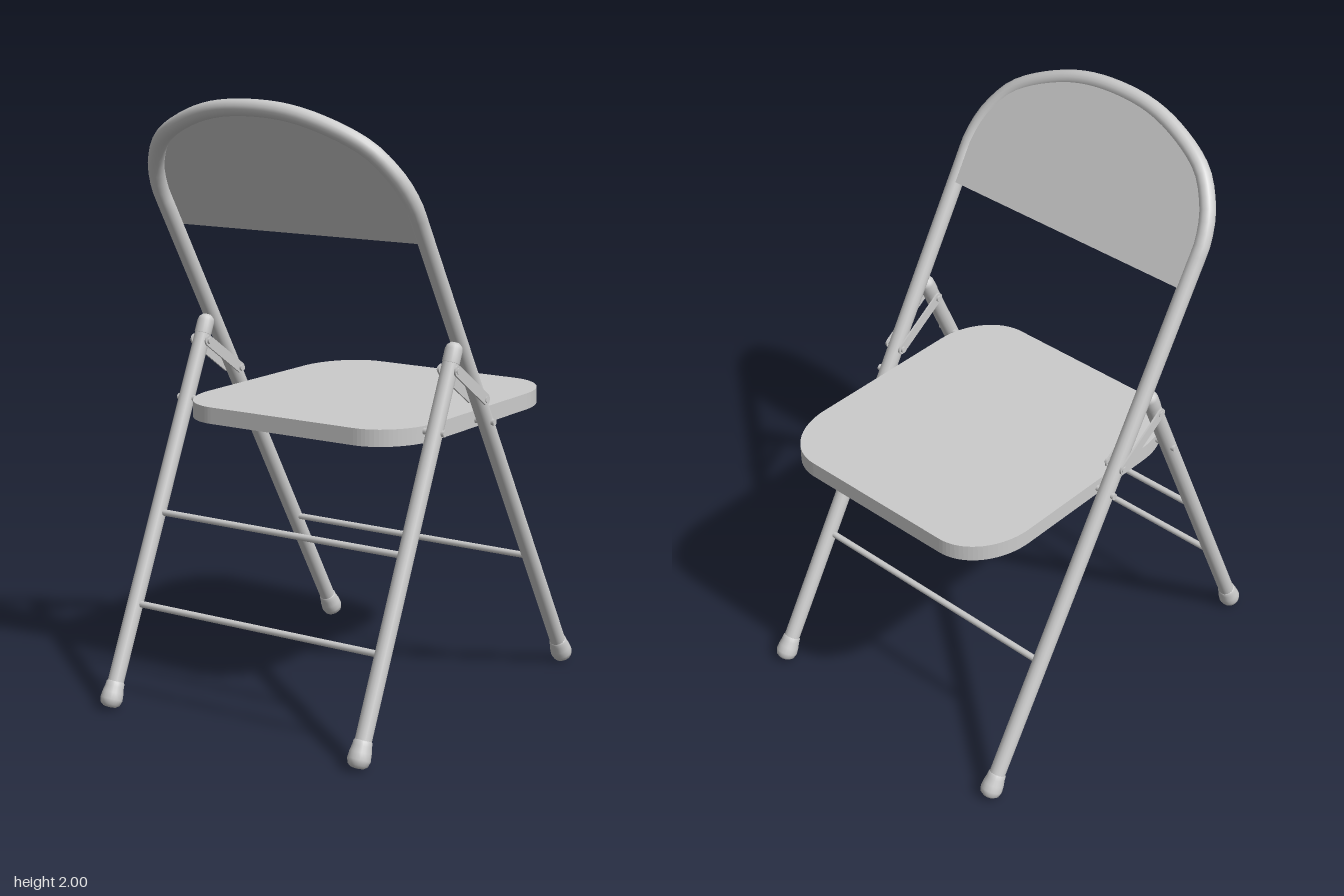
import * as THREE from 'three';

const R = 0.027;   // tube radius
const X = 0.49;    // side tube offset
// Side profile of the two crossing frames
const mainZ = y => 0.51 - (1.973 - y) * 0.592;
const legZ = y => 0.632 - (y - 0.05) * 0.4466;

export function createModel() {
  const model = new THREE.Group();
  const mat = new THREE.MeshStandardMaterial({ color: 0xcccccc });
  const sheetMat = new THREE.MeshStandardMaterial({ color: 0xcccccc, side: THREE.DoubleSide });
  const V = (x, y, z) => new THREE.Vector3(x, y, z);
  const UP = V(0, 1, 0);

  function add(name, geometry, material = mat) {
    const mesh = new THREE.Mesh(geometry, material);
    mesh.name = name;
    model.add(mesh);
    return mesh;
  }
  // Round bar between two points
  function bar(name, a, b, r, sides = 16) {
    const d = b.clone().sub(a);
    const mesh = add(name, new THREE.CylinderGeometry(r, r, d.length(), sides));
    mesh.position.copy(a).add(b).multiplyScalar(0.5);
    mesh.quaternion.setFromUnitVectors(UP, d.normalize());
  }
  // Turned part standing on point p, with its axis along dir
  function turned(name, profile, p, dir) {
    const points = profile.map(([r, h]) => new THREE.Vector2(r, h));
    const mesh = add(name, new THREE.LatheGeometry(points, 20));
    mesh.position.copy(p);
    mesh.quaternion.setFromUnitVectors(UP, dir.clone().normalize());
  }

  // Main frame: one bent tube forming two legs and the back arch
  const arch = [[X, 1.64], [X, 1.68], [0.476, 1.745], [0.452, 1.795], [0.39, 1.868],
    [0.25, 1.938], [0.105, 1.973]];
  const archLoop = [...arch, ...arch.map(([x, y]) => [-x, y]).reverse()];
  const onMain = ([x, y]) => V(x, y, mainZ(y));
  const path = new THREE.CurvePath();
  path.add(new THREE.LineCurve3(onMain([X, 0.04]), onMain(archLoop[0])));
  path.add(new THREE.CatmullRomCurve3(archLoop.map(onMain)));
  path.add(new THREE.LineCurve3(onMain([-X, 1.64]), onMain([-X, 0.04])));
  add('mainFrame', new THREE.TubeGeometry(path, 140, R, 16));

  // Back panel: thin sheet inside the arch, set against one face of the tube
  const archCurve = new THREE.SplineCurve(archLoop.map(([x, y]) => new THREE.Vector2(x, y)));
  const panelShape = new THREE.Shape([new THREE.Vector2(-X + 0.01, 1.565),
    new THREE.Vector2(X - 0.01, 1.565), ...archCurve.getPoints(40)]);
  const panel = new THREE.ShapeGeometry(panelShape);
  const pos = panel.attributes.position;
  for (let i = 0; i < pos.count; i++) pos.setZ(i, mainZ(pos.getY(i)) - 0.024);
  panel.computeVertexNormals();
  add('backPanel', panel, sheetMat);

  // Seat: rounded pan with a turned-down rim, hollow below
  function seatOutline(inset, Type) {
    const w = 0.455 - inset, d = 0.5 - inset, rx = 0.175 - inset, rz = 0.22 - inset;
    const s = new Type();
    [[1, 1], [-1, 1], [-1, -1], [1, -1]].forEach(([sx, sz], i) =>
      s.absellipse(sx * (w - rx), sz * (d - rz), rx, rz, i * Math.PI / 2, (i + 1) * Math.PI / 2));
    s.closePath();
    return s;
  }
  function seatLayer(name, shape, y, depth) {
    const g = new THREE.ExtrudeGeometry(shape, { depth, bevelEnabled: false, curveSegments: 10 });
    g.rotateX(-Math.PI / 2).translate(0, y, -0.14);
    add(name, g);
  }
  const rim = seatOutline(0, THREE.Shape);
  rim.holes.push(seatOutline(0.015, THREE.Path));
  seatLayer('seatRim', rim, 0.935, 0.043);
  seatLayer('seatTop', seatOutline(0, THREE.Shape), 0.978, 0.012);

  // Rungs between the legs
  bar('mainFrameRung', V(-X, 0.435, mainZ(0.435)), V(X, 0.435, mainZ(0.435)), 0.011, 12);
  for (const y of [0.33, 0.615]) bar('supportLegRung', V(-X, y, legZ(y)), V(X, y, legZ(y)), 0.011, 12);

  // Flat link with round ends, swinging in the side plane
  const linkA = V(0, 1.16, 0.134), linkB = V(0, 1.04, -0.044);
  const len = linkA.distanceTo(linkB);
  const link = new THREE.Shape();
  link.absarc(0, len / 2, 0.018, 0, Math.PI);
  link.absarc(0, -len / 2, 0.018, Math.PI, Math.PI * 2);
  const linkGeo = new THREE.ExtrudeGeometry(link, { depth: 0.006, bevelEnabled: false, curveSegments: 8 });
  linkGeo.translate(0, 0, -0.003).rotateY(Math.PI / 2);
  linkGeo.rotateX(Math.atan2(linkB.z - linkA.z, linkB.y - linkA.y));

  const foot = [[0, 0], [0.02, 0.002], [0.032, 0.011], [0.037, 0.028], [0.035, 0.05],
    [0.031, 0.07], [0.03, 0.084], [0.026, 0.088]];
  const cap = [[0.026, 0], [0.0285, 0.002], [0.0285, 0.045], [0.025, 0.057], [0.015, 0.067], [0, 0.07]];
  const mainDir = V(0, 1, 0.592), legDir = V(0, 1, -0.4466);

  for (const s of [1, -1]) {
    const side = s > 0 ? 'left' : 'right';
    const x = s * X;
    // Support leg with its end cap, and feet on both frames
    bar(side + 'SupportLeg', V(x, 0.04, legZ(0.04)), V(x, 1.2, legZ(1.2)), R);
    turned(side + 'LegCap', cap, V(x, 1.18, legZ(1.18)), legDir);
    turned(side + 'MainFoot', foot, V(x, 0.01, mainZ(0.01)), mainDir);
    turned(side + 'SupportFoot', foot, V(x, 0.009, legZ(0.009)), legDir);
    // Folding links on both faces of the tubes
    for (const dx of [-0.03, 0.03]) {
      add(side + 'FoldingLink', linkGeo).position.set(x + dx, 1.1, 0.045);
    }
    // Pivot pins
    for (const [y, z] of [[1.16, 0.134], [1.04, -0.044], [0.975, 0.215], [0.958, -0.091]]) {
      bar(side + 'PivotPin', V(s * 0.45, y, z), V(s * 0.526, y, z), 0.011, 12);
    }
  }
  return model;
}
